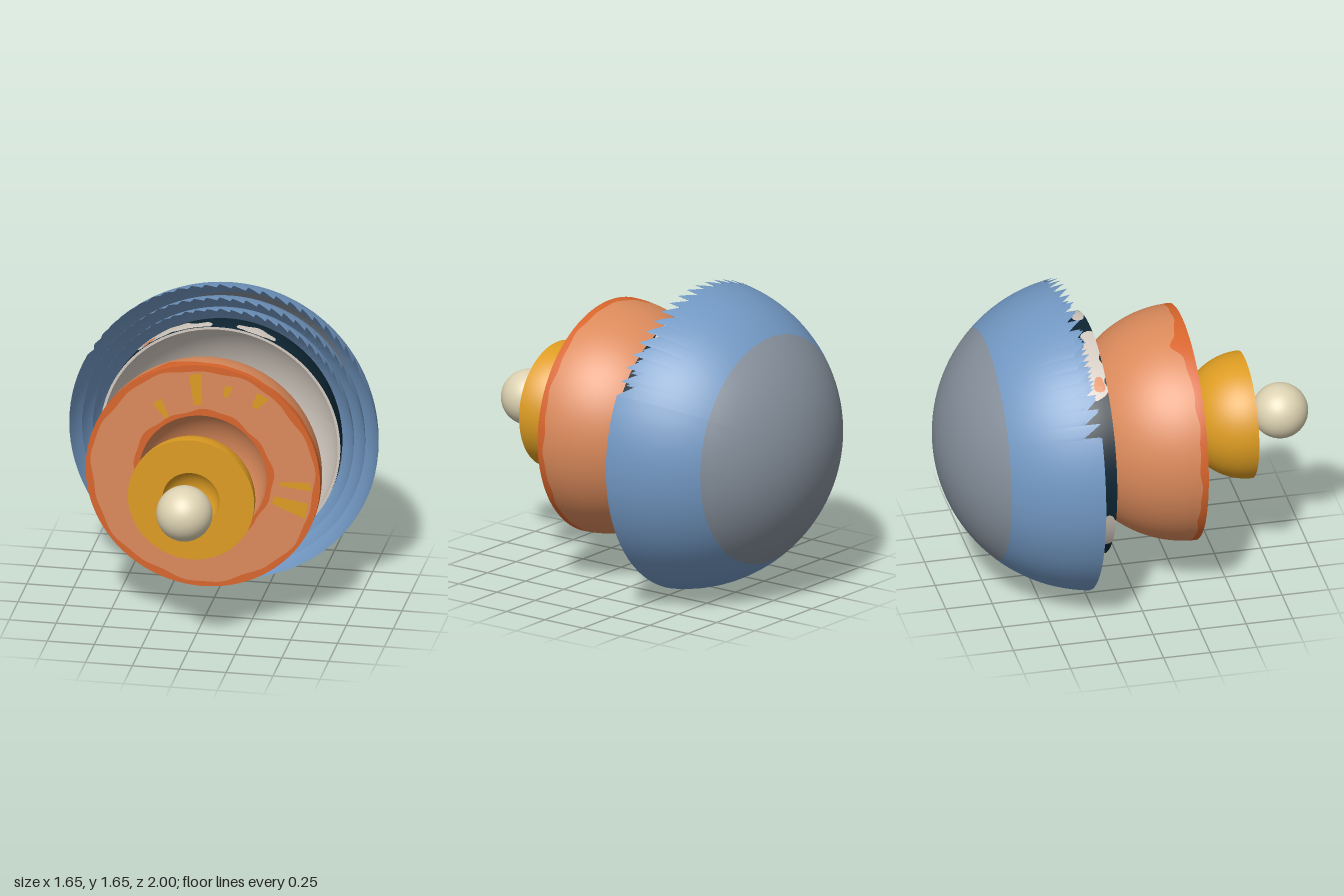
import * as THREE from 'three';

const RAD = Math.PI / 180;
const paint = (name, color) =>
  Object.assign(new THREE.MeshStandardMaterial({ color, side: THREE.DoubleSide }), { name });

// Evenly spaced angles round the model's z axis
const angles = (a = 0, b = 360, n = 120) =>
  Array.from({ length: n + 1 }, (_, i) => (a + ((b - a) * i) / n) * RAD);

// Surface swept over angles; place(t, s, i) gives a point, s runs 0..1
function sweep(ts, steps, place) {
  const pos = [], idx = [], row = steps + 1;
  ts.forEach((t, i) => {
    for (let j = 0; j <= steps; j++) pos.push(...place(t, j / steps, i));
  });
  for (let i = 0; i < ts.length - 1; i++)
    for (let j = 0; j < steps; j++) {
      const a = i * row + j, b = a + row;
      idx.push(a, a + 1, b, b, a + 1, b + 1);
    }
  const g = new THREE.BufferGeometry();
  g.setAttribute('position', new THREE.Float32BufferAttribute(pos, 3));
  g.setIndex(idx);
  g.computeVertexNormals();
  return g;
}

// Piece of a sphere: lat is the angle behind the open rim, the pole is at -z
const dome = (r, from, to, ts = angles(), steps = 32) =>
  sweep(ts, steps, (t, s, i) => {
    const lat = from(t, i) + (to(t, i) - from(t, i)) * s;
    return [r * Math.cos(lat) * Math.cos(t), r * Math.cos(lat) * Math.sin(t), -r * Math.sin(lat)];
  });

// Flat ring or ring sector facing +z
const ring = (inner, outer, ts = angles()) =>
  sweep(ts, 1, (t, s) => {
    const r = inner(t) + (outer(t) - inner(t)) * s;
    return [r * Math.cos(t), r * Math.sin(t), 0];
  });

const k = (v) => () => v;
const RIM = k(0), POLE = k(Math.PI / 2);

export function createModel() {
  const root = new THREE.Group();
  root.name = 'layeredPlanet';

  const cream = paint('core cream', 0xddd2b2);
  const amber = paint('amber', 0xdd9c22);
  const orange = paint('mantle orange', 0xdb8a5b);
  const rust = paint('rust orange', 0xd8652c);
  const navy = paint('ocean navy', 0x0e2633);
  const stone = paint('crust stone', 0xd3cac0);
  const slate = paint('slate', 0x7f8f9f);
  const blue = paint('sky blue', 0x7197c2);
  const grey = paint('cap grey', 0x858f9b);

  const layer = (name, z) => {
    const g = new THREE.Group();
    g.name = name;
    g.position.set(0, 0.83, z);
    root.add(g);
    return (part, geometry, material, dz = 0) => {
      const m = new THREE.Mesh(geometry, material);
      m.name = part;
      m.position.z = dz;
      g.add(m);
    };
  };

  // Inner core
  layer('innerCore', 0.852)('coreBall', new THREE.SphereGeometry(0.148, 48, 32), cream);

  // Outer core: half ball with a round hollow
  const core = layer('outerCore', 0.665);
  core('outerCoreShell', dome(0.337, RIM, POLE), amber);
  core('outerCoreHollow', dome(0.152, RIM, POLE), amber);
  core('outerCoreFace', ring(k(0.152), k(0.337)), amber);

  // Mantle: half ball with uneven rust bands along its edges
  const mantle = layer('mantle', 0.328);
  const bump = (t, deg, width, h) => {
    const d = Math.atan2(Math.sin(t - deg * RAD), Math.cos(t - deg * RAD)) / (width * RAD);
    return h * Math.exp(-d * d);
  };
  const band = (t) => 0.06 + 0.008 * Math.sin(11 * t) + 0.006 * Math.sin(23 * t)
    + bump(t, 109, 5, 0.09) + bump(t, 100, 14, 0.04) + bump(t, 122, 6, 0.04);
  const innerEdge = (t) => 0.37 + 0.008 * Math.sin(5 * t + 1) + 0.005 * Math.sin(13 * t);
  const outerEdge = (t) => 0.594 + 0.007 * Math.sin(7 * t) + 0.004 * Math.sin(17 * t);
  const fine = angles(0, 360, 180);
  mantle('mantleRimBand', dome(0.625, RIM, band, fine, 4), rust);
  mantle('mantleShell', dome(0.625, band, POLE, fine), orange);
  mantle('mantleHollow', dome(0.34, RIM, POLE), orange);
  mantle('mantleInnerBand', ring(k(0.34), innerEdge, fine), rust);
  mantle('mantleFace', ring(innerEdge, outerEdge, fine), orange);
  mantle('mantleOuterBand', ring(outerEdge, k(0.625), fine), rust);

  // Hot plumes: [angle, inner radius, outer radius, inner and outer half width]
  const plumes = [
    [94, 0.4, 0.58, 0.02, 0.034], [75, 0.47, 0.54, 0.01, 0.022], [56, 0.49, 0.58, 0.016, 0.034],
    [121, 0.37, 0.48, 0.012, 0.028], [-2, 0.41, 0.58, 0.01, 0.024], [-16, 0.39, 0.58, 0.022, 0.045],
  ];
  for (const [deg, r0, r1, w0, w1] of plumes) {
    const s = new THREE.Shape([[r0, -w0], [r1, -w1], [r1 - 0.01, w1], [r0, w0]]
      .map(([x, y]) => new THREE.Vector2(x, y)));
    mantle('plume', new THREE.ShapeGeometry(s).rotateZ(deg * RAD), amber, 0.003);
  }

  // Crust: thin half shell with oceans outside and stone within
  const crust = layer('crust', -0.167);
  crust('oceanSurface', dome(0.64, RIM, POLE), navy);
  crust('crustInside', dome(0.626, RIM, POLE), stone);
  crust('crustEdge', ring(k(0.626), k(0.64)), stone);

  // Land: [centre angle, half width, latitude, half height, material]
  const lands = [
    [120, 15, 0.1, 0.12, stone], [103, 9, 0.04, 0.08, stone], [73, 10, 0.06, 0.075, stone],
    [127, 4, 0.06, 0.05, orange], [-12, 10, 0.03, 0.085, slate], [-7, 3, 0.12, 0.025, orange],
    [-82, 14, 0.05, 0.07, stone], [205, 12, 0.06, 0.09, stone],
  ];
  for (const [deg, w, lat, h, mat] of lands) {
    const half = (t) => h * Math.sqrt(Math.max(0, 1 - ((t / RAD - deg) / w) ** 2));
    const wave = (t) => 1 + 0.25 * Math.sin(31 * t);
    crust('land', dome(0.643, (t) => Math.max(0, lat - half(t) * wave(t + 1)),
      (t) => Math.max(0, lat + half(t) * wave(t)), angles(deg - w, deg + w, 24), 4), mat);
  }

  // Atmosphere: nested open shells, saw-toothed along the upper rim
  const sky = layer('atmosphere', -0.167);
  const START = 28, TEETH = 23, PITCH = 124 / TEETH;
  const ts = [], rim = [];
  const add = (deg, lat) => { ts.push(deg * RAD); rim.push(lat); };
  for (let i = 0; i < TEETH; i++) {
    const a = START + i * PITCH;
    const depth = 0.085 + 0.04 * Math.abs(i / (TEETH - 1) * 2 - 1) + 0.012 * Math.sin(i * 2.4);
    for (const f of [0, 0.33, 0.66, 0.97]) add(a + f * PITCH, 0.118 + depth * f);
  }
  for (let d = 152; d <= 388; d += 4) add(d, 0.122);
  const sawRim = (t, i) => rim[i];
  const capLat = k(Math.asin(0.56 / 0.83));
  sky('outerSky', dome(0.83, sawRim, capLat, ts, 24), blue);
  sky('outerSkyCap', dome(0.83, capLat, POLE, ts, 20), grey);
  sky('middleSky', dome(0.76, sawRim, POLE, ts), blue);
  sky('innerSky', dome(0.7, sawRim, POLE, ts), blue);

  return root;
}
